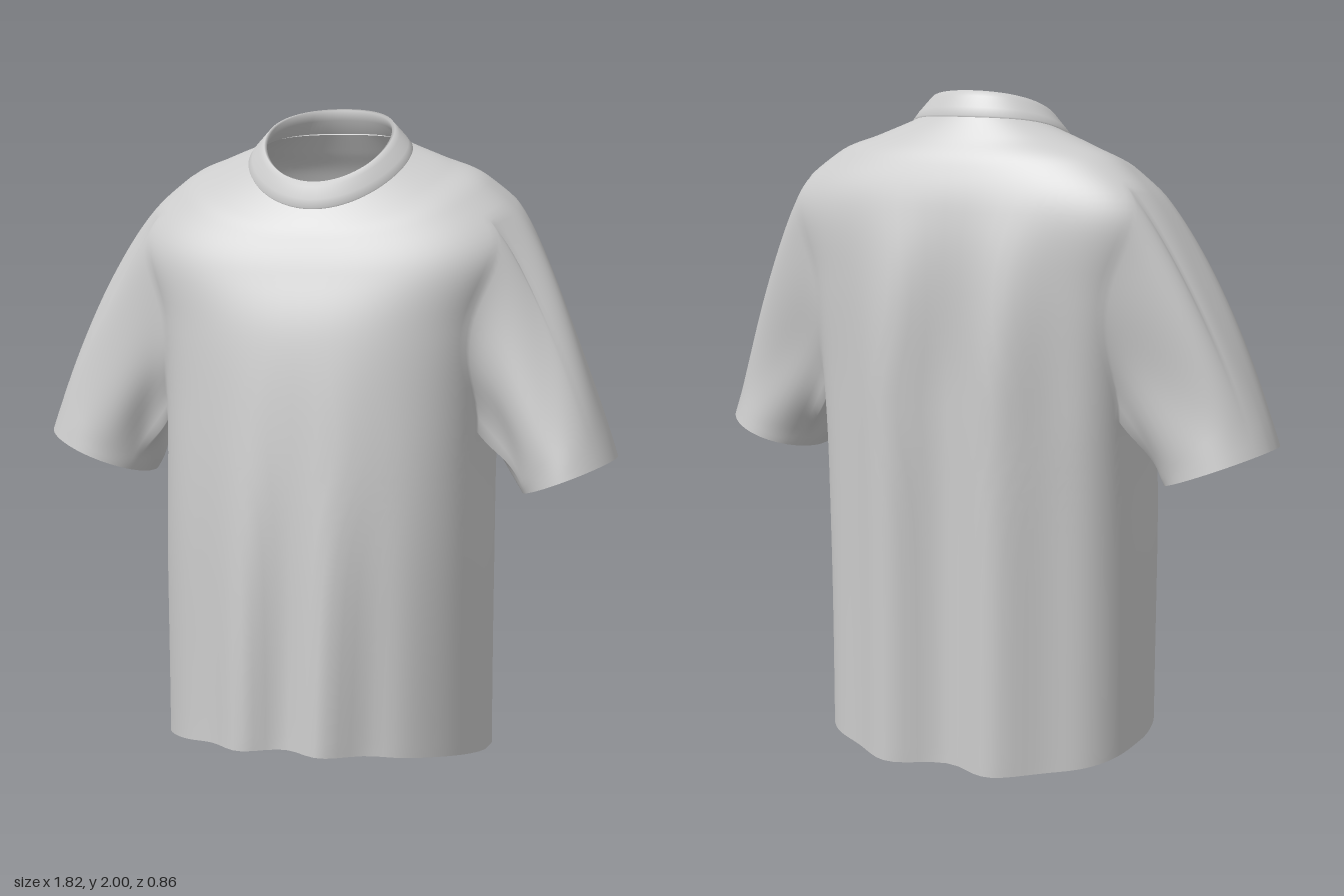
import * as THREE from 'three';

const COLS = 96, STEP = 8, CX = 0.015;
const ARM_HALF = 8, ARM_LOW = 2 * STEP, ARM_HIGH = 4.5 * STEP; // armhole patch in the body grid

// Body sections, hem to neck seam: half width, side y/z, front y/z, back y/z
const SECTIONS = [
  [0.5, 0.06, -0.03, 0.125, 0.415, 0.003, -0.405],
  [0.5, 0.6, -0.03, 0.65, 0.385, 0.6, -0.4],
  [0.5, 1.06, -0.06, 1.05, 0.345, 1.08, -0.394],
  [0.535, 1.4, -0.08, 1.34, 0.3, 1.45, -0.384],
  [0.605, 1.635, -0.1, 1.52, 0.245, 1.66, -0.352],
  [0.48, 1.782, -0.09, 1.62, 0.205, 1.79, -0.308],
  [0.36, 1.83, -0.065, 1.67, 0.18, 1.865, -0.262],
  [0.25, 1.862, -0.04, 1.71, 0.155, 1.925, -0.225],
];
const ROWS = (SECTIONS.length - 1) * STEP;

const smooth = THREE.MathUtils.smoothstep;
const lerp = THREE.MathUtils.lerp;
const signedPow = (v, p) => Math.sign(v) * Math.abs(v) ** p;
const bell = (v, centre, width) => Math.exp(-(((v - centre) / width) ** 2));

// Smooth interpolation between the sections
function sectionAt(v) {
  const i = Math.min(Math.floor(v), SECTIONS.length - 2), t = v - i;
  const at = (k) => SECTIONS[THREE.MathUtils.clamp(k, 0, SECTIONS.length - 1)];
  return at(i).map((b, k) => {
    const a = at(i - 1)[k], c = at(i + 1)[k], d = at(i + 2)[k];
    return b + 0.5 * t * (c - a + t * (2 * a - 5 * b + 4 * c - d + t * (3 * (b - c) + d - a)));
  });
}

// A point on a tilted ring; the square amounts (0 to 1) make front and back boxier
function ringPoint([w, ys, zs, yf, zf, yb, zb], angle, squareFront = 0, squareBack = 0) {
  const c = Math.cos(angle), s = Math.sin(angle), front = s > 0;
  const square = front ? squareFront : squareBack;
  const x = CX + w * signedPow(c, 1 - 0.15 * square);
  const y = ys + ((yf - yb) / 2) * s + ((yf + yb) / 2 - ys) * s * s;
  const z = zs + ((front ? zf : zb) - zs) * Math.abs(s) ** (1 - (front ? 0.2 : 0.48) * square);
  return [x, y, z];
}

function bodyPoint(row, col) {
  const v = row / STEP, around = (col / COLS) * Math.PI * 2;
  // columns gather at the armpit and shoulder point, rounding the armhole
  const angle = around - Math.sin(2 * around) * (0.32 * bell(v, 2, 0.5) + 0.14 * bell(v, 4.5, 0.5));
  const toNeck = 1 - smooth(v, 3.7, 6.5);
  const p = ringPoint(sectionAt(v), angle, toNeck * smooth(v, 0, 2), toNeck * lerp(0.7, 1, smooth(v, 0, 3)));
  const [x, y] = p, s = Math.sin(angle);
  // hanging folds, deepest at the hem in front and along the whole back
  if (s > 0) {
    const fade = 1 - smooth(y, 0.1, 1.35);
    p[2] -= 0.034 * fade * s * s * Math.cos((x / 0.27) * Math.PI * 2) * Math.exp(-((x / 0.33) ** 4));
  } else {
    const fade = 1 - smooth(y, 1.1, 1.75);
    p[2] += 0.043 * fade * s * s * Math.cos(((x - 0.015) / 0.38) * Math.PI * 2) * Math.exp(-((x / 0.4) ** 4));
  }
  return p;
}

function quad(index, a, b, c, d) { // a, b along; d, c one step further
  index.push(a, d, b, b, d, c);
}

// Indices of the armhole edge around column `mid`
function armholeLoop(mid) {
  const id = (r, c) => r * COLS + ((mid + c + COLS) % COLS);
  const loop = [];
  for (let c = -ARM_HALF; c < ARM_HALF; c++) loop.push(id(ARM_LOW, c));
  for (let r = ARM_LOW; r < ARM_HIGH; r++) loop.push(id(r, ARM_HALF));
  for (let c = ARM_HALF; c > -ARM_HALF; c--) loop.push(id(ARM_HIGH, c));
  for (let r = ARM_HIGH; r > ARM_LOW; r--) loop.push(id(r, -ARM_HALF));
  return loop;
}

// Sleeve lofted from the armhole edge to its own oval hem
function addSleeve(pos, side, hem) {
  const index = [], steps = 22;
  const loop = armholeLoop(side > 0 ? 0 : COLS / 2);
  const starts = loop.map((i) => pos.slice(i * 3, i * 3 + 3));
  let previous = loop;
  for (let k = 1; k <= steps; k++) {
    const t = k / steps, t2 = t * t, t3 = t2 * t;
    const h = [2 * t3 - 3 * t2 + 1, t3 - 2 * t2 + t, 3 * t2 - 2 * t3, t3 - t2];
    const mix = (p0, m0, p1, m1) => h[0] * p0 + h[1] * m0 + h[2] * p1 + h[3] * m1;
    const ring = starts.map(([x, y, z]) => {
      const phi = Math.atan2((y - 1.38) / 0.33, (z + 0.09) / 0.2);
      const up = Math.sin(phi), across = Math.cos(phi), top = (up + 1) / 2;
      const end = [side * (hem.x + hem.dx * up), hem.y + hem.dy * up, hem.z + hem.rz * across];
      const crease = 0.008 * Math.sin(Math.PI * Math.min(1, t * 1.1)) * Math.sin(5 * phi + 3 * t);
      const i = pos.length / 3;
      pos.push(
        mix(x, side * lerp(0.13, 0.32, top), end[0], side * lerp(0.13, 0.25, top)) + side * up * crease,
        mix(y, lerp(-0.18, -0.32, top), end[1], lerp(-0.18, -0.8, top)),
        mix(z, -0.14 * across, end[2], 0.08 * across) + across * crease,
      );
      return i;
    });
    ring.forEach((_, i) => {
      const j = (i + 1) % ring.length;
      quad(index, previous[i], previous[j], ring[j], ring[i]);
    });
    previous = ring;
  }
  return index;
}

// Collar band: up from the neck seam, over the rim and a little way inside
function collarGeometry() {
  const rings = [
    [0.249, 1.858, -0.04, 1.706, 0.153, 1.921, -0.224],
    [0.253, 1.866, -0.04, 1.713, 0.158, 1.929, -0.228],
    [0.24, 1.882, -0.036, 1.738, 0.154, 1.953, -0.219],
    [0.214, 1.908, -0.032, 1.774, 0.144, 1.985, -0.203],
    [0.2, 1.922, -0.03, 1.79, 0.137, 2.0, -0.194],
    [0.191, 1.918, -0.03, 1.786, 0.13, 1.996, -0.186],
    [0.198, 1.895, -0.03, 1.755, 0.13, 1.965, -0.189],
    [0.235, 1.86, -0.035, 1.712, 0.145, 1.925, -0.214],
  ];
  const pos = [], index = [];
  rings.forEach((ring, r) => {
    for (let c = 0; c < COLS; c++) {
      pos.push(...ringPoint(ring, (c / COLS) * Math.PI * 2));
      const n = (c + 1) % COLS;
      if (r) quad(index, (r - 1) * COLS + c, (r - 1) * COLS + n, r * COLS + n, r * COLS + c);
    }
  });
  const geometry = new THREE.BufferGeometry();
  geometry.setAttribute('position', new THREE.Float32BufferAttribute(pos, 3));
  geometry.setIndex(index);
  geometry.computeVertexNormals();
  return geometry;
}

export function createModel() {
  const group = new THREE.Group();
  group.name = 'tShirt';
  const cloth = new THREE.MeshStandardMaterial({ color: 0xcccccc, side: THREE.DoubleSide });

  // Body grid with the two armholes left open
  const pos = [], body = [];
  for (let r = 0; r <= ROWS; r++) for (let c = 0; c < COLS; c++) pos.push(...bodyPoint(r, c));
  for (let r = 0; r < ROWS; r++) {
    for (let c = 0; c < COLS; c++) {
      const fromSide = Math.abs(((c + 0.5 + COLS / 4) % (COLS / 2)) - COLS / 4);
      if (fromSide < ARM_HALF && r >= ARM_LOW && r < ARM_HIGH) continue;
      const n = (c + 1) % COLS;
      quad(body, r * COLS + c, r * COLS + n, (r + 1) * COLS + n, (r + 1) * COLS + c);
    }
  }
  const leftSleeve = addSleeve(pos, 1, { x: 0.768, dx: 0.138, y: 0.925, dy: 0.055, z: -0.025, rz: 0.2 });
  const rightSleeve = addSleeve(pos, -1, { x: 0.745, dx: 0.165, y: 0.933, dy: 0.065, z: -0.085, rz: 0.175 });

  // Shared normals keep the shoulders smooth across the sleeve joins
  const whole = new THREE.BufferGeometry();
  whole.setAttribute('position', new THREE.Float32BufferAttribute(pos, 3));
  whole.setIndex([...body, ...leftSleeve, ...rightSleeve]);
  whole.computeVertexNormals();

  const addPart = (name, geometry) => {
    const mesh = new THREE.Mesh(geometry, cloth);
    mesh.name = name;
    group.add(mesh);
  };
  for (const [name, index] of Object.entries({ body, leftSleeve, rightSleeve })) {
    whole.setIndex(index);
    addPart(name, whole.toNonIndexed());
  }
  addPart('collar', collarGeometry());
  return group;
}
